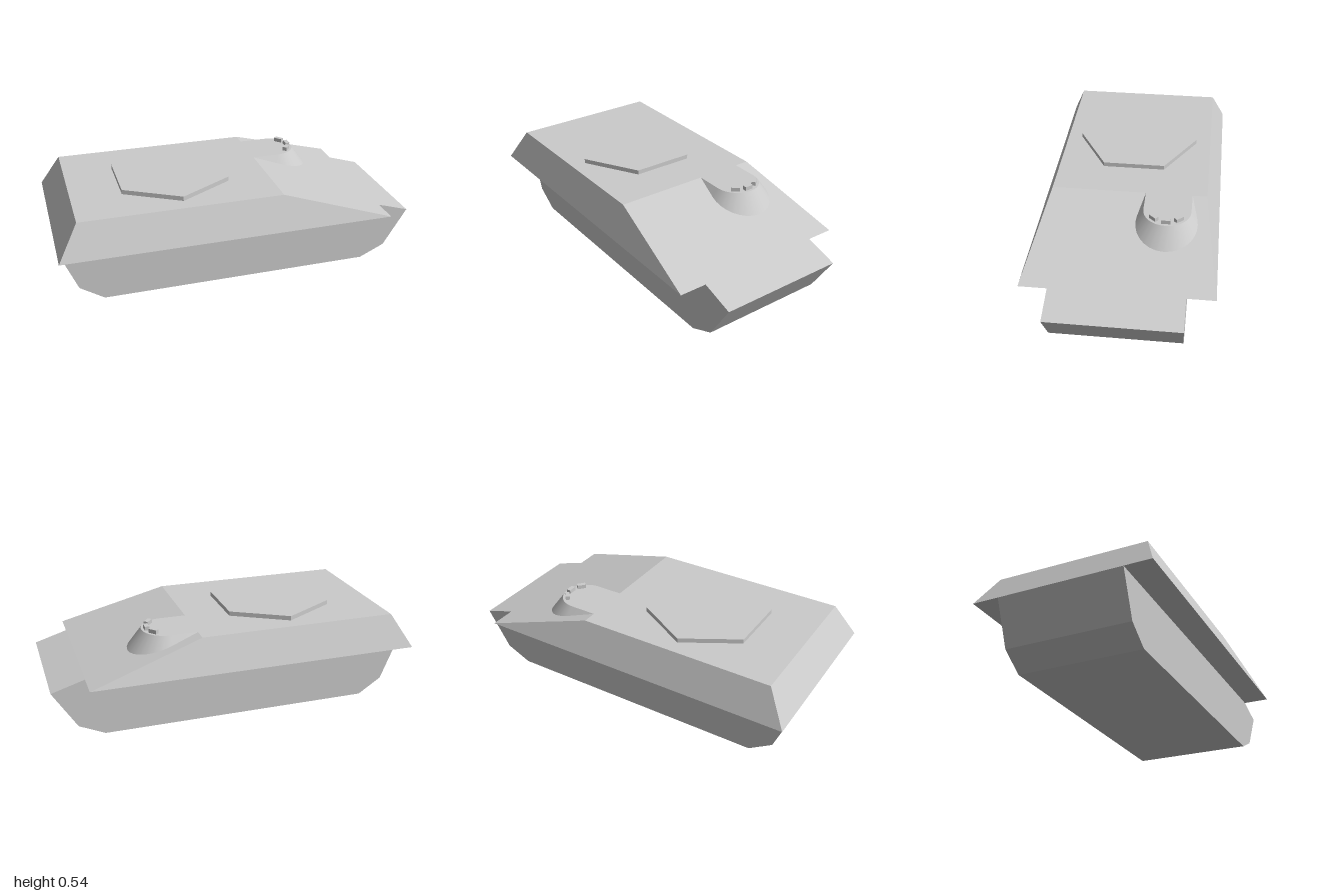
import * as THREE from 'three';
import { toCreasedNormals } from 'three/addons/utils/BufferGeometryUtils.js';

const DECK = 0.515, SPONSON = 0.33, BEND = 0.21;

export function createModel() {
  const group = new THREE.Group();
  const grey = new THREE.MeshStandardMaterial({ color: 0xcccccc });
  const add = (name, geometry, x = 0, y = 0, z = 0) => {
    const mesh = new THREE.Mesh(geometry, grey);
    mesh.name = name;
    mesh.position.set(x, y, z);
    group.add(mesh);
    return mesh;
  };

  // Lower hull: side profile extruded across the width
  const profile = [[-1, SPONSON], [-0.9, 0.085], [-0.77, 0], [0.73, 0],
    [0.87, 0.065], [1, 0.275], [0.82, SPONSON]];
  const shape = new THREE.Shape(profile.map(([x, y]) => new THREE.Vector2(x, y)));
  const lower = new THREE.ExtrudeGeometry(shape, { depth: 0.7, bevelEnabled: false });
  add('lowerHull', lower, 0, 0, -0.35);

  // Upper hull: box with sloped sides, rear and long front plate
  const upper = new THREE.BoxGeometry(2, 1, 2);
  const p = upper.attributes.position;
  for (let i = 0; i < p.count; i++) {
    const top = p.getY(i) > 0, front = p.getX(i) > 0;
    p.setXYZ(i,
      front ? (top ? BEND : 0.82) : (top ? -0.89 : -1),
      top ? DECK : SPONSON,
      Math.sign(p.getZ(i)) * (top ? 0.425 : 0.5));
  }
  upper.computeVertexNormals();
  add('upperHull', upper);

  // Hexagonal turret plate on the deck
  add('turretPlate', new THREE.CylinderGeometry(0.343, 0.343, 0.035, 6).toNonIndexed(), -0.32, 0.5225, 0)
    .geometry.computeVertexNormals();

  // Driver's cowl: flared half cone, drawn straight back into the deck
  const cx = 0.36, cz = -0.218, height = 0.14, topR = 0.1275, lowR = 0.23;
  const cowl = new THREE.CylinderGeometry(topR, lowR, height, 32);
  const c = cowl.attributes.position;
  for (let i = 0; i < c.count; i++) {
    const z = c.getZ(i);
    if (c.getX(i) < -0.001) {
      const r = c.getY(i) > 0 ? topR : lowR;
      c.setX(i, BEND - cx);
      c.setZ(i, Math.abs(z) < 0.001 ? 0 : Math.sign(z) * r);
    }
  }
  add('driverCowl', toCreasedNormals(cowl, 0.6), cx, DECK - height / 2, cz);

  // Three periscopes round the front rim of the cowl
  for (const angle of [-0.72, 0, 0.72]) {
    const r = 0.1;
    const block = add('periscope', new THREE.BoxGeometry(0.024, 0.03, 0.048),
      cx + r * Math.cos(angle), 0.522, cz + r * Math.sin(angle));
    block.rotation.y = -angle;
  }

  return group;
}
